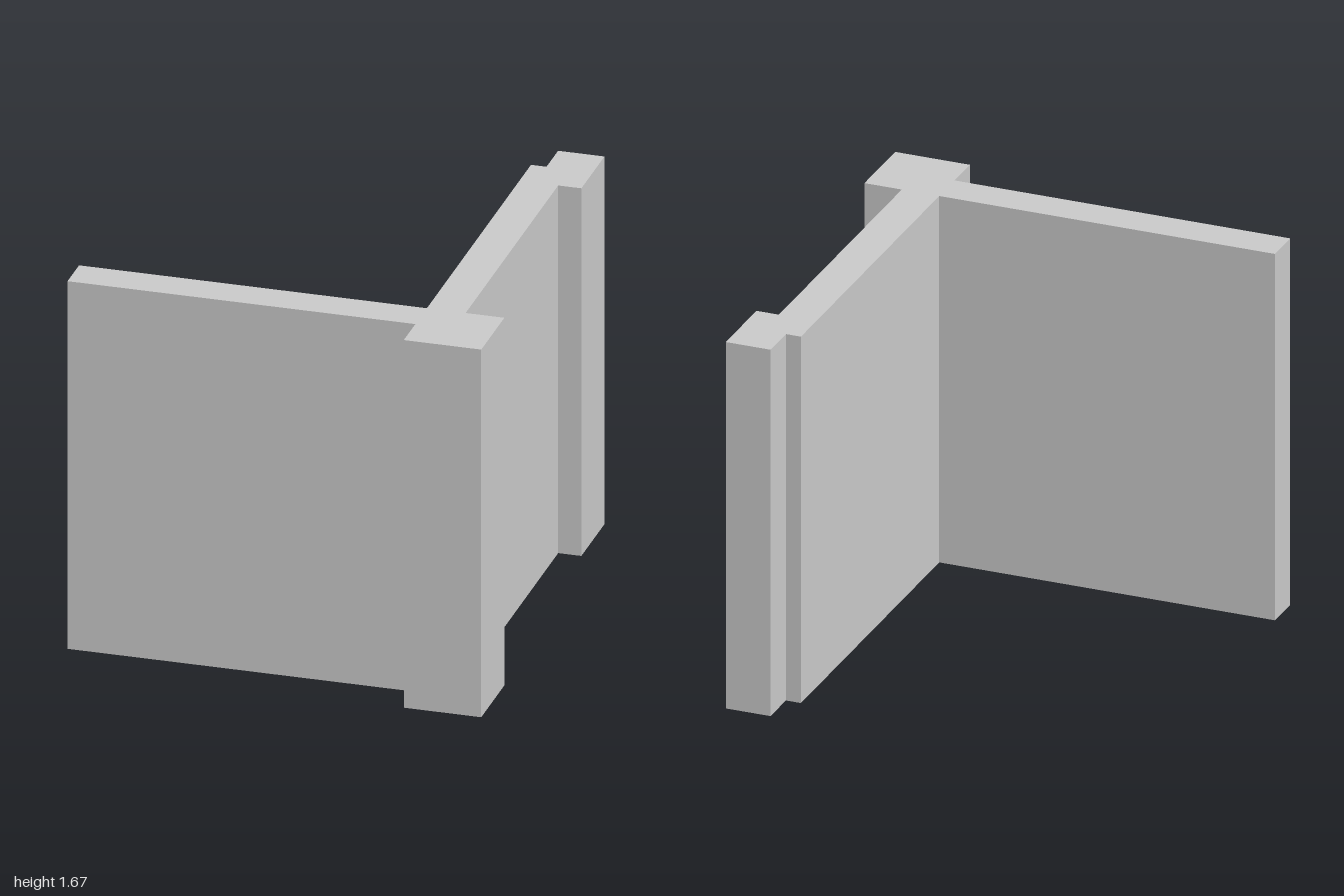
import * as THREE from 'three';

const HEIGHT = 1.667;

// Plan outline of the wall corner as [x, z], one continuous solid
const PLAN = [
  // inner faces of the two walls
  [-0.917, 0.667], [0.583, 0.667], [0.583, -0.833],
  // end pilaster at the back
  [0.65, -0.833], [0.65, -1], [0.85, -1], [0.85, -0.667], [0.75, -0.667],
  // outer face of the side wall, then the corner pillar
  [0.75, 0.667], [0.917, 0.667], [0.917, 1], [0.583, 1],
  // outer face of the front wall
  [0.583, 0.833], [-0.917, 0.833],
];

export function createModel() {
  const group = new THREE.Group();
  group.name = 'wallCorner';

  // Shape y becomes -z once the extrusion is stood upright
  const shape = new THREE.Shape(PLAN.map(([x, z]) => new THREE.Vector2(x, -z)));
  const geometry = new THREE.ExtrudeGeometry(shape, { depth: HEIGHT, bevelEnabled: false });
  geometry.rotateX(-Math.PI / 2);

  const material = new THREE.MeshStandardMaterial({ color: 0xcccccc });
  const walls = new THREE.Mesh(geometry, material);
  walls.name = 'wallsWithPillars';
  group.add(walls);
  return group;
}
